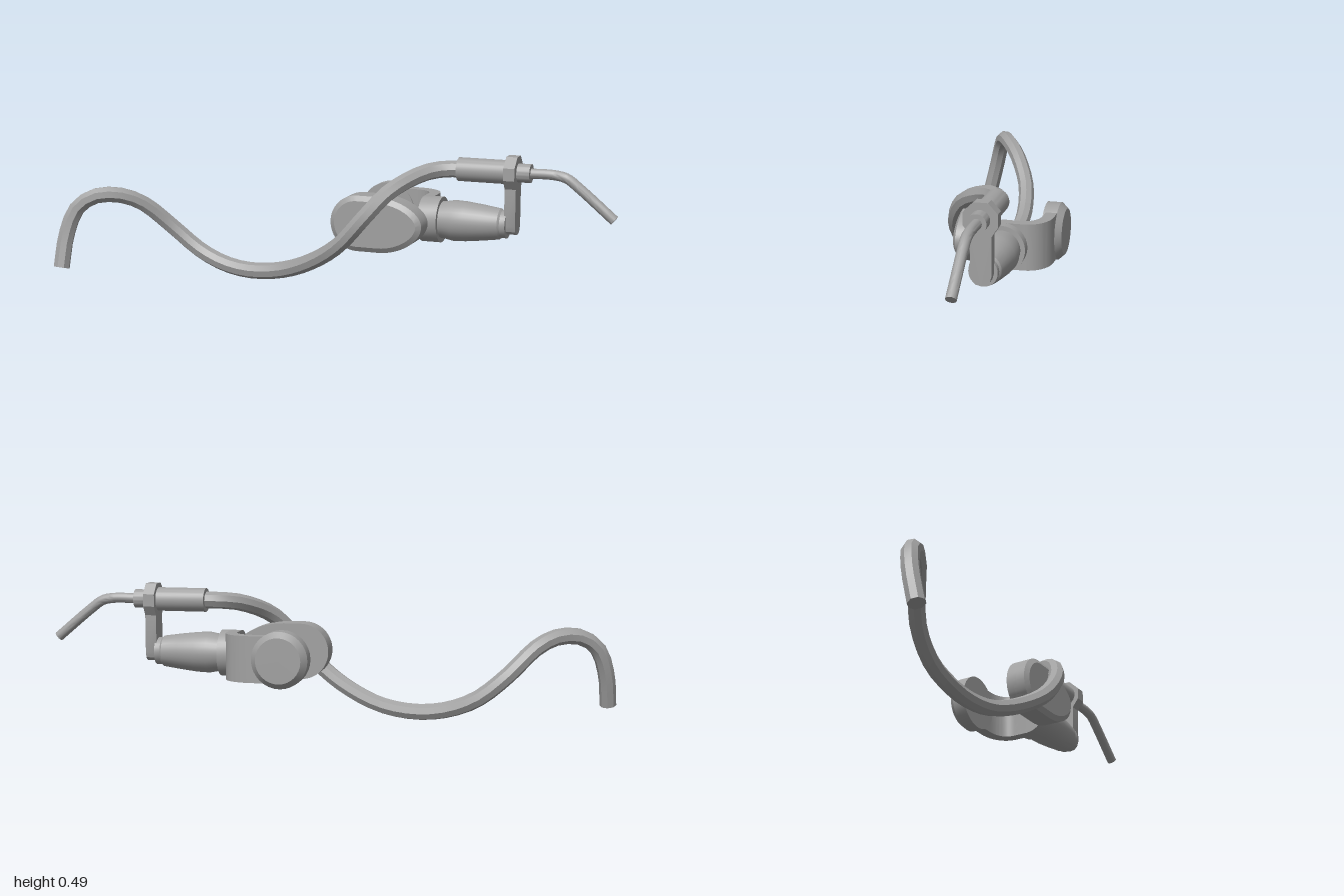
import * as THREE from 'three';
import { toCreasedNormals } from 'three/addons/utils/BufferGeometryUtils.js';

const steel = new THREE.MeshStandardMaterial({ color: 0xa0a0a0 });
steel.name = 'steel grey';

export function createModel() {
  const group = new THREE.Group();

  const add = (name, geometry, crease = 0.5) => {
    const mesh = new THREE.Mesh(toCreasedNormals(geometry, crease), steel);
    mesh.name = name;
    group.add(mesh);
    return mesh;
  };

  // Tube through points, closed at both ends
  const cappedTube = (points, radius, segments, sides) => {
    const curve = new THREE.CatmullRomCurve3(points.map((p) => new THREE.Vector3(...p)));
    const geometry = new THREE.TubeGeometry(curve, segments, radius, sides);
    const index = Array.from(geometry.index.array);
    const last = segments * (sides + 1);
    for (let j = 1; j < sides - 1; j++) {
      index.push(0, j, j + 1, last, last + j + 1, last + j);
    }
    geometry.setIndex(index);
    return geometry;
  };

  // Turned part along x; profile is [x, radius]
  const turned = (profile, y, z, sides = 32) => {
    const points = profile.map(([x, r]) => new THREE.Vector2(r, x));
    return new THREE.LatheGeometry(points, sides).rotateZ(-Math.PI / 2).translate(0, y, z);
  };

  const extrude = (shape, depth, options = {}) =>
    new THREE.ExtrudeGeometry(shape, { depth, bevelEnabled: false, curveSegments: 16, ...options });

  // Octagonal hose
  add('hose', cappedTube([
    [-0.97, 0.04, 0.262], [-0.962, 0.16, 0.232], [-0.93, 0.255, 0.205],
    [-0.87, 0.298, 0.178], [-0.79, 0.3, 0.135], [-0.72, 0.265, 0.085],
    [-0.63, 0.175, 0.03], [-0.525, 0.09, 0.012], [-0.42, 0.047, 0.017],
    [-0.31, 0.033, 0.023], [-0.18, 0.05, 0.034], [-0.045, 0.105, 0.068],
    [0.065, 0.18, 0.1], [0.145, 0.27, 0.1], [0.225, 0.365, 0.045],
    [0.315, 0.42, -0.06], [0.38, 0.432, -0.108], [0.45, 0.433, -0.12],
  ], 0.03, 44, 8));

  // Sleeve, nut and bent rod
  const rodY = 0.433, axisZ = -0.12;
  add('hoseSleeve', turned([[0.428, 0], [0.428, 0.042], [0.61, 0.042], [0.61, 0]], rodY, axisZ));
  add('rodCollar', turned([[0.63, 0], [0.63, 0.033], [0.69, 0.033], [0.69, 0]], rodY, axisZ));
  add('bentRod', cappedTube([
    [0.68, rodY, axisZ], [0.77, rodY, axisZ], [0.815, 0.424, axisZ],
    [0.86, 0.392, axisZ], [0.985, 0.288, axisZ],
  ], 0.018, 24, 16));

  // Bracket plate: octagonal head with a rounded arm, outlined in -z and y
  const bracket = new THREE.Shape([
    [0.1, 0.49], [0.063, 0.455], [0.063, 0.411], [0.087, 0.378], [0.087, 0.246],
    [0.093, 0.226], [0.105, 0.215], [0.122, 0.212], [0.139, 0.215], [0.151, 0.226],
    [0.157, 0.246], [0.157, 0.378], [0.178, 0.411], [0.178, 0.455], [0.146, 0.49],
  ].map(([u, v]) => new THREE.Vector2(u, v)));
  add('bracket', extrude(bracket, 0.04).rotateY(Math.PI / 2).translate(0.604, 0, 0));

  // Barrel grip and flange
  const jawY = 0.247;
  add('barrelGrip', turned([
    [0.36, 0], [0.36, 0.066], [0.378, 0.066], [0.415, 0.073], [0.46, 0.071],
    [0.52, 0.064], [0.583, 0.055], [0.59, 0.049], [0.61, 0.049], [0.61, 0],
  ], jawY, axisZ));
  add('flange', turned([[0.3, 0], [0.3, 0.082], [0.37, 0.082], [0.37, 0]], jawY, axisZ));

  // Curved yoke strip, outlined in x and -z, extruded upward
  const yoke = new THREE.Shape();
  yoke.moveTo(0.337, 0.12);
  yoke.lineTo(0.337, 0.185);
  yoke.bezierCurveTo(0.337, 0.235, 0.29, 0.27, 0.23, 0.27);
  yoke.lineTo(0.127, 0.27);
  yoke.lineTo(0.127, 0.23);
  yoke.lineTo(0.22, 0.23);
  yoke.bezierCurveTo(0.27, 0.23, 0.3, 0.21, 0.3, 0.17);
  yoke.lineTo(0.3, 0.12);
  add('yoke', extrude(yoke, 0.163).rotateX(-Math.PI / 2).translate(0, jawY - 0.0815, 0));

  // Round rear pad with a chamfered back
  const pad = new THREE.LatheGeometry(
    [[0, 0.222], [0.1, 0.222], [0.1, 0.27], [0.08, 0.291], [0, 0.291]]
      .map(([r, h]) => new THREE.Vector2(r, h)), 32);
  add('rearPad', pad.rotateX(-Math.PI / 2).translate(0.127, jawY, 0));

  // Front jaw: round at one end, tapering to a narrower rounded nose
  const jaw = new THREE.Shape();
  jaw.moveTo(0.17, 0.345);
  jaw.lineTo(0.107, 0.345);
  jaw.absarc(0.107, 0.245, 0.1, Math.PI / 2, Math.PI * 1.5, false);
  jaw.lineTo(0.19, 0.145);
  jaw.bezierCurveTo(0.27, 0.147, 0.345, 0.195, 0.345, 0.248);
  jaw.bezierCurveTo(0.345, 0.295, 0.27, 0.343, 0.17, 0.345);
  add('frontJaw', extrude(jaw, 0.04).translate(0, 0, -0.025));
  add('frontJawFace', extrude(jaw, 0.045, {
    bevelEnabled: true, bevelThickness: 0.012, bevelSize: 0.018, bevelOffset: -0.018, bevelSegments: 1,
  }).translate(0, 0, 0.003));

  return group;
}
